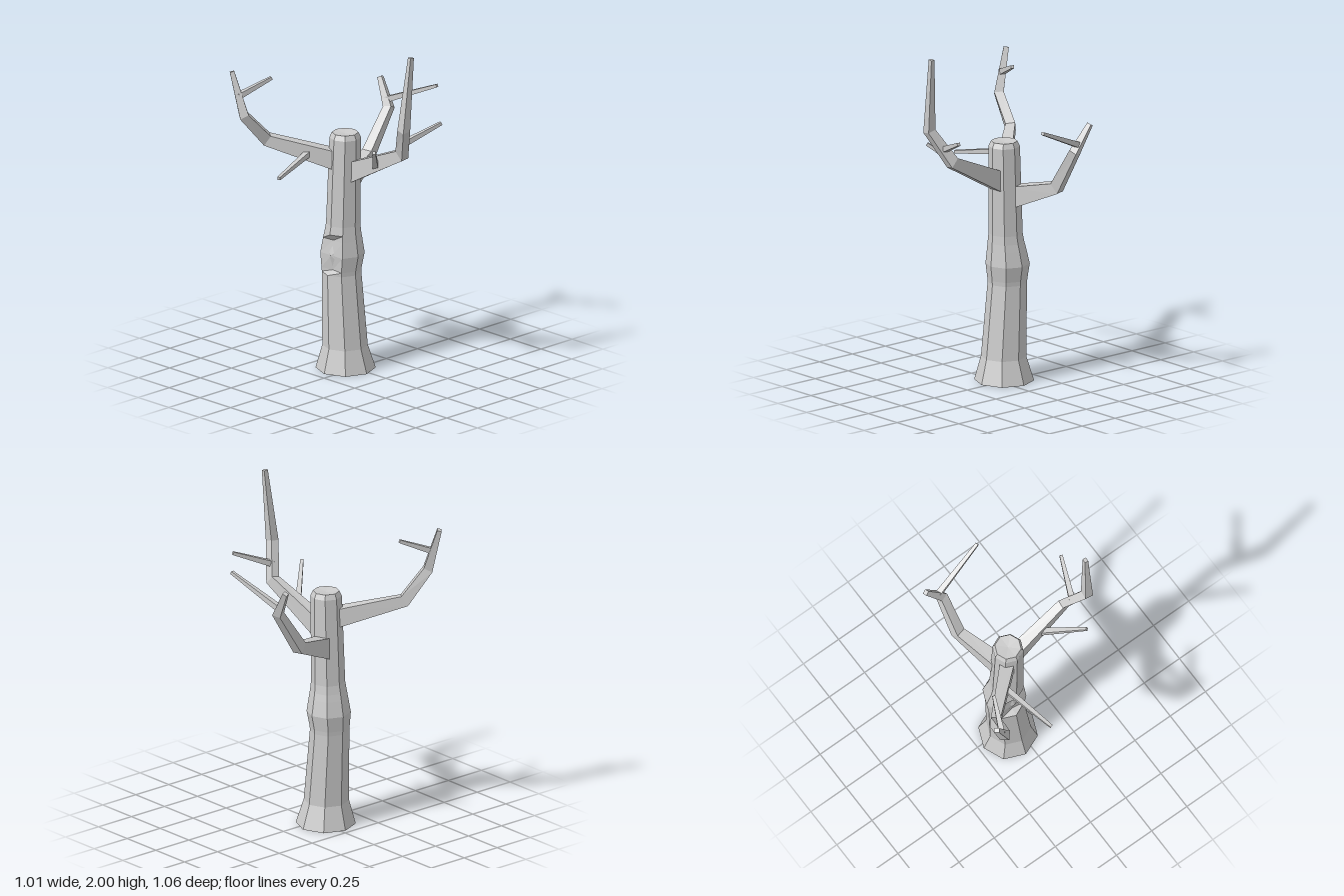
import * as THREE from 'three';

const V = (x, y, z) => new THREE.Vector3(x, y, z);
const bark = new THREE.MeshStandardMaterial({ color: 0xcccccc, flatShading: true, side: THREE.DoubleSide });

// Skin a list of equal-sized point rings; tip (optional) closes the last ring as a fan
function loft(name, rings, tip) {
  const pos = [];
  const tri = (...pts) => pts.forEach((p) => pos.push(p.x, p.y, p.z));
  const n = rings[0].length;
  for (let i = 0; i < rings.length - 1; i++) {
    for (let j = 0; j < n; j++) {
      const k = (j + 1) % n;
      const [a, b, c, d] = [rings[i][j], rings[i][k], rings[i + 1][k], rings[i + 1][j]];
      tri(a, b, c);
      tri(a, c, d);
    }
  }
  const last = rings[rings.length - 1];
  if (tip) last.forEach((p, j) => tri(p, last[(j + 1) % n], tip));
  const geo = new THREE.BufferGeometry();
  geo.setAttribute('position', new THREE.Float32BufferAttribute(pos, 3));
  geo.computeVertexNormals();
  const mesh = new THREE.Mesh(geo, bark);
  mesh.name = name;
  return mesh;
}

// Four-sided tapering limb; each point is [x, y, z, halfWidth, halfHeight]
function limb(name, points) {
  const c = points.map(([x, y, z]) => V(x, y, z));
  let side = null;
  const rings = c.map((p, i) => {
    const dir = V(0, 0, 0);
    if (i > 0) dir.add(p.clone().sub(c[i - 1]).normalize());
    if (i < c.length - 1) dir.add(c[i + 1].clone().sub(p).normalize());
    dir.normalize();
    // carry the sideways axis along the limb so it never twists
    if (!side) side = dir.clone().cross(V(0, 1, 0));
    side.addScaledVector(dir, -side.dot(dir)).normalize();
    const up = dir.clone().cross(side);
    const [w, h] = points[i].slice(3);
    return [[1, 1], [-1, 1], [-1, -1], [1, -1]].map(([s, t]) =>
      p.clone().addScaledVector(side, s * w).addScaledVector(up, t * h));
  });
  return loft(name, rings, c[c.length - 1]);
}

const twig = (name, from, to) => limb(name, [[...from, 0.017, 0.017], [...to, 0.009, 0.009]]);

export function createModel() {
  const tree = new THREE.Group();
  tree.name = 'bareTree';

  // Trunk: [y, centre x, centre z, radius, front z where hollowed]
  const trunkRings = [
    [0, -0.052, 0.025, 0.172],
    [0.14, -0.052, 0.03, 0.13],
    [0.575, -0.08, 0.03, 0.113],
    [0.6, -0.08, 0.03, 0.115, 0.1],
    [0.69, -0.078, 0.025, 0.127, 0.112],
    [0.78, -0.073, 0.028, 0.112, 0.102],
    [0.82, -0.07, 0.03, 0.105],
    [0.87, -0.067, 0.03, 0.098],
    [1.39, -0.054, 0.027, 0.09],
    [1.42, -0.054, 0.027, 0.076],
  ].map(([y, x, z, r, front]) => Array.from({ length: 8 }, (_, j) => {
    const a = (j * Math.PI) / 4;
    return V(x + r * Math.sin(a), y, j === 0 && front ? front : z + r * Math.cos(a));
  }));
  tree.add(loft('trunk', trunkRings, V(-0.054, 1.412, 0.027)));

  // Knot filling the hollow on the front
  const knot = new THREE.Mesh(new THREE.ConeGeometry(1, 1, 6, 1, true), bark);
  knot.name = 'knot';
  knot.rotation.x = Math.PI / 2;
  knot.scale.set(0.06, 0.024, 0.095);
  knot.position.set(-0.078, 0.69, 0.108);
  tree.add(knot);

  // Main branches
  tree.add(limb('leftBranch', [
    [-0.02, 1.185, 0.02, 0.038, 0.058],
    [0.37, 1.375, -0.01, 0.025, 0.034],
    [0.472, 1.565, 0.075, 0.026, 0.026],
    [0.49, 2.0, 0.035, 0.013, 0.011],
  ]));
  tree.add(limb('rightBranch', [
    [-0.08, 1.255, 0.06, 0.042, 0.055],
    [-0.375, 1.375, 0.34, 0.028, 0.034],
    [-0.413, 1.54, 0.485, 0.027, 0.027],
    [-0.488, 1.795, 0.508, 0.015, 0.013],
  ]));
  tree.add(limb('backBranch', [
    [-0.09, 1.095, -0.02, 0.045, 0.062],
    [-0.18, 1.185, -0.285, 0.03, 0.035],
    [-0.178, 1.43, -0.445, 0.026, 0.024],
    [-0.272, 1.585, -0.47, 0.014, 0.013],
  ]));

  // Twigs
  tree.add(twig('leftFrontTwig', [0.18, 1.265, 0.015], [0.37, 1.44, 0.212]));
  tree.add(twig('leftBackTwig', [0.405, 1.455, 0.02], [0.493, 1.55, -0.205]));
  tree.add(twig('rightUpperTwig', [-0.445, 1.655, 0.5], [-0.365, 1.74, 0.312]));
  tree.add(twig('rightLowerTwig', [-0.195, 1.302, 0.17], [-0.103, 1.242, 0.512]));
  tree.add(twig('backTwig', [-0.2, 1.47, -0.452], [0.135, 1.615, -0.525]));

  return tree;
}
